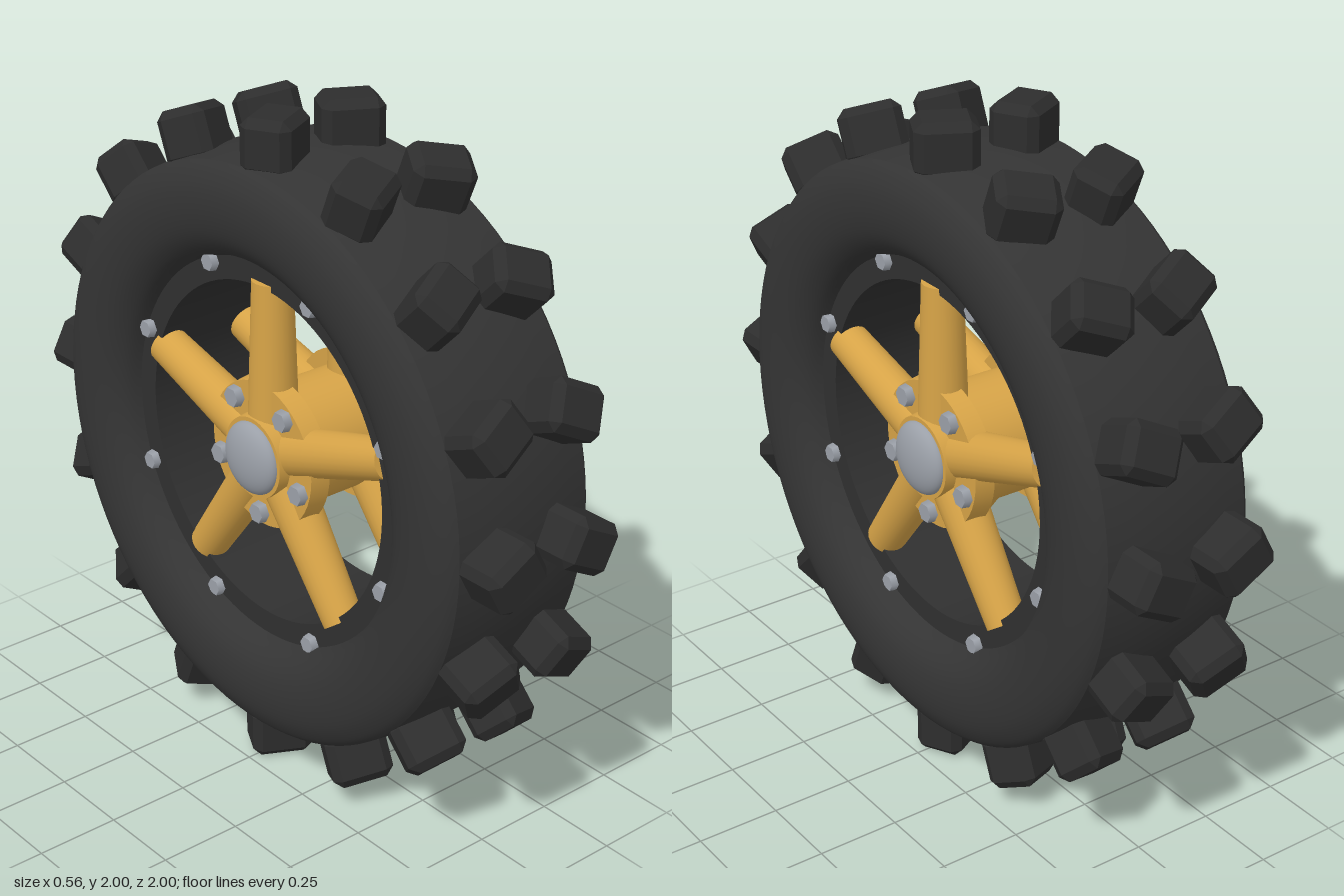
import * as THREE from 'three';
import { toCreasedNormals } from 'three/addons/utils/BufferGeometryUtils.js';
import { ConvexGeometry } from 'three/addons/geometries/ConvexGeometry.js';

const mat = (name, color, flatShading = false) => {
  const m = new THREE.MeshStandardMaterial({ color, flatShading });
  m.name = name;
  return m;
};

export function createModel() {
  const rubber = mat('tyre rubber', 0x343434);
  const blockRubber = mat('tread block rubber', 0x2d2d2d);
  const rimDark = mat('rim dark grey', 0x303030);
  const gold = mat('golden metal', 0xd6a347);
  const steel = mat('steel', 0x9ba0a8);

  const model = new THREE.Group();
  model.name = 'wheel';
  const wheel = new THREE.Group();
  wheel.name = 'wheelAssembly';
  wheel.position.y = 1;
  model.add(wheel);

  const add = (parent, name, geometry, material) => {
    const mesh = new THREE.Mesh(geometry, material);
    mesh.name = name;
    parent.add(mesh);
    return mesh;
  };
  // Turned part: [radius, x] points around the wheel axis
  const turned = (points, segments = 96) =>
    new THREE.LatheGeometry(points.map(([r, x]) => new THREE.Vector2(r, x)), segments).rotateZ(-Math.PI / 2);
  const smooth = (points, n) =>
    new THREE.SplineCurve(points.map(([r, x]) => new THREE.Vector2(r, x))).getPoints(n).map(p => [p.x, p.y]);
  // Cylinder along the wheel axis from x0 to x1
  const disc = (r, x0, x1, sides = 48, rOuter = r) =>
    new THREE.CylinderGeometry(rOuter, r, x1 - x0, sides).rotateZ(-Math.PI / 2).translate((x0 + x1) / 2, 0, 0);

  // Tyre crown
  add(wheel, 'tyreCrown', turned(smooth([[0.862, -0.23], [0.875, -0.12], [0.88, 0], [0.875, 0.12], [0.862, 0.23]], 12)), rubber);

  // Rim barrel, a closed ring
  add(wheel, 'rimBarrel', toCreasedNormals(
    turned([[0.51, -0.185], [0.585, -0.185], [0.585, 0.185], [0.51, 0.185], [0.51, -0.185]]), 0.6), rimDark);

  // Hub barrel
  add(wheel, 'hubBarrel', disc(0.18, -0.15, 0.15), gold);

  // Chamfered tread block
  const [bx, by, bz, c] = [0.09, 0.075, 0.08, 0.025];
  const corners = [];
  for (const sx of [-1, 1]) for (const sy of [-1, 1]) for (const sz of [-1, 1]) {
    corners.push(
      new THREE.Vector3(sx * bx, sy * (by - c), sz * (bz - c)),
      new THREE.Vector3(sx * (bx - c), sy * by, sz * (bz - c)),
      new THREE.Vector3(sx * (bx - c), sy * (by - c), sz * bz));
  }
  const blockGeometry = new ConvexGeometry(corners);

  // Sixteen chevron pairs of blocks
  for (let i = 0; i < 16; i++) {
    const pair = new THREE.Group();
    pair.name = 'treadPair';
    pair.rotation.x = (i / 16) * Math.PI * 2;
    for (const s of [-1, 1]) {
      const block = add(pair, 'treadBlock', blockGeometry, blockRubber);
      block.position.set(s * 0.132, 0, 0.92);
      block.rotation.z = -s * 0.49;
    }
    wheel.add(pair);
  }

  // Parts shared by both faces of the wheel
  const sidewall = turned(smooth([[0.862, 0.23], [0.84, 0.253], [0.79, 0.275], [0.72, 0.28],
    [0.65, 0.265], [0.6, 0.228], [0.578, 0.18]], 24));
  const spokeGeometry = new THREE.CylinderGeometry(0.059, 0.075, 0.48, 24).translate(0, 0.285, 0);
  const capGeometry = new THREE.SphereGeometry(0.11, 40, 10, 0, Math.PI * 2, 0, Math.PI / 2)
    .scale(1, 0.42, 1).rotateZ(-Math.PI / 2).translate(0.222, 0, 0);
  const rimBolt = disc(0.031, 0.18, 0.207, 6, 0.026);
  const hubBolt = disc(0.035, 0.18, 0.215, 6, 0.03);

  for (const side of [1, -1]) {
    const face = new THREE.Group();
    face.name = side > 0 ? 'leftFace' : 'rightFace';
    if (side < 0) face.rotation.y = Math.PI;
    wheel.add(face);

    add(face, 'sidewall', sidewall, rubber);
    add(face, 'hubFlange', disc(0.228, 0.13, 0.19, 48, 0.22), gold);
    add(face, 'hubCollar', disc(0.128, 0.18, 0.223, 48, 0.122), gold);
    add(face, 'hubCap', capGeometry, steel);

    for (let i = 0; i < 5; i++) {
      const a = (i / 5) * Math.PI * 2;
      const spoke = add(face, 'spoke', spokeGeometry, gold);
      spoke.position.x = 0.145;
      spoke.rotation.x = a;
      const b = a + Math.PI / 5;
      add(face, 'hubBolt', hubBolt, steel).position.set(0, Math.cos(b) * 0.182, Math.sin(b) * 0.182);
    }
    for (let i = 0; i < 8; i++) {
      const a = ((i + 0.5) / 8) * Math.PI * 2;
      add(face, 'rimBolt', rimBolt, steel).position.set(0, Math.cos(a) * 0.566, Math.sin(a) * 0.566);
    }
  }
  return model;
}
